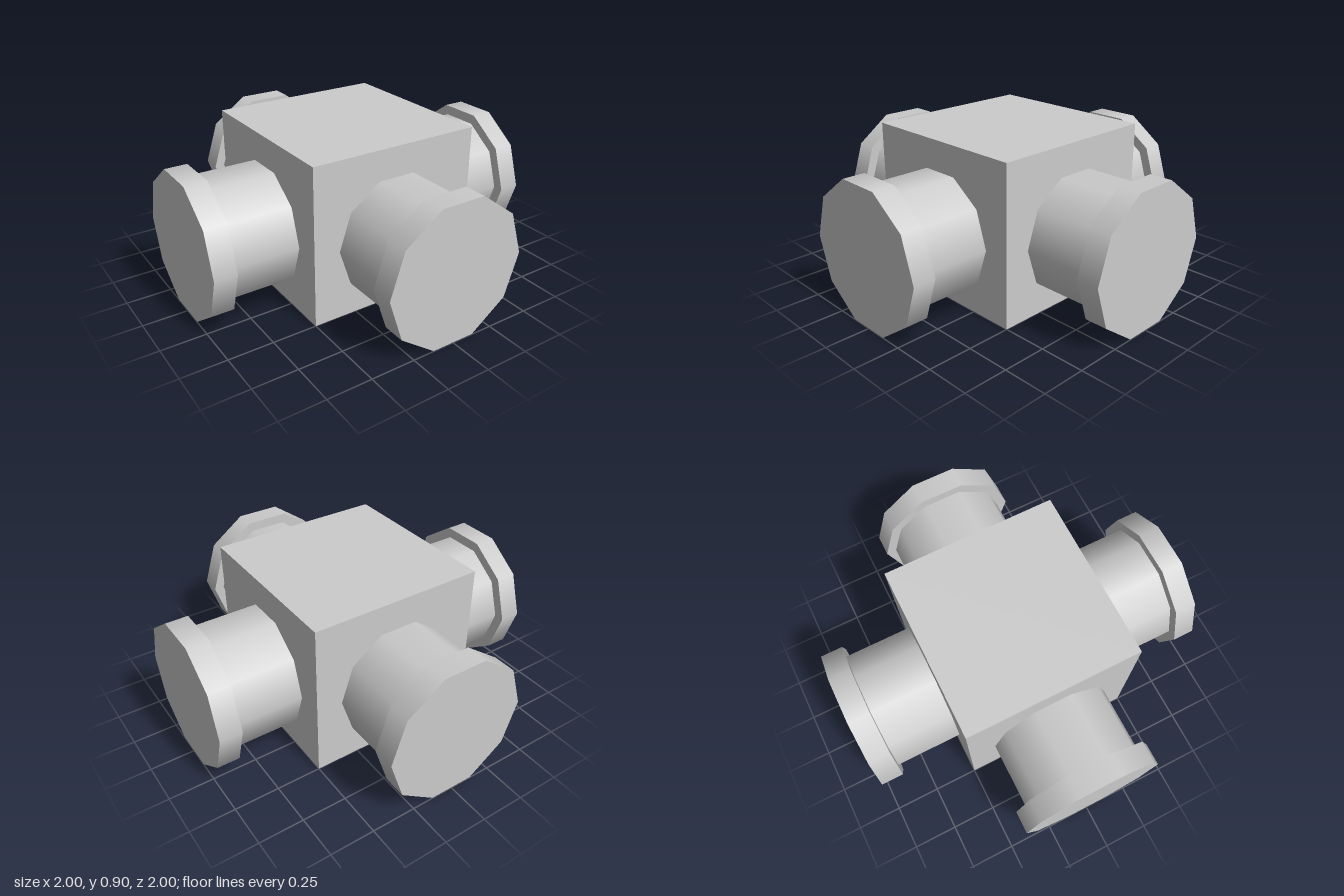
import * as THREE from 'three';

const AXIS_Y = 0.392; // height of the pipe axes
const SIDES = 10;

export function createModel() {
  const model = new THREE.Group();
  model.name = 'pipeJunction';
  const material = new THREE.MeshStandardMaterial({ color: 0xcccccc });

  // Central block
  const block = new THREE.Mesh(new THREE.BoxGeometry(1, 0.896, 1), material);
  block.name = 'centralBlock';
  block.position.y = 0.448;
  model.add(block);

  // Ten-sided drum along z, with corners on the horizontal and flats above and below
  const drum = (radius, from, to, open) => {
    const g = new THREE.CylinderGeometry(radius, radius, to - from, SIDES, 1, open, Math.PI / 2);
    return g.rotateX(Math.PI / 2).translate(0, 0, (from + to) / 2);
  };
  const pipeGeometry = drum(0.35, 0.5, 0.875, true);
  const flangeGeometry = drum(0.41, 0.875, 1, false);

  // Four identical arms, each a pipe ending in a closed flange
  ['front', 'left', 'back', 'right'].forEach((side, i) => {
    const arm = new THREE.Group();
    arm.name = side + 'Arm';
    const pipe = new THREE.Mesh(pipeGeometry, material);
    pipe.name = side + 'Pipe';
    const flange = new THREE.Mesh(flangeGeometry, material);
    flange.name = side + 'Flange';
    arm.add(pipe, flange);
    arm.position.y = AXIS_Y;
    arm.rotation.y = (i * Math.PI) / 2;
    model.add(arm);
  });

  return model;
}
